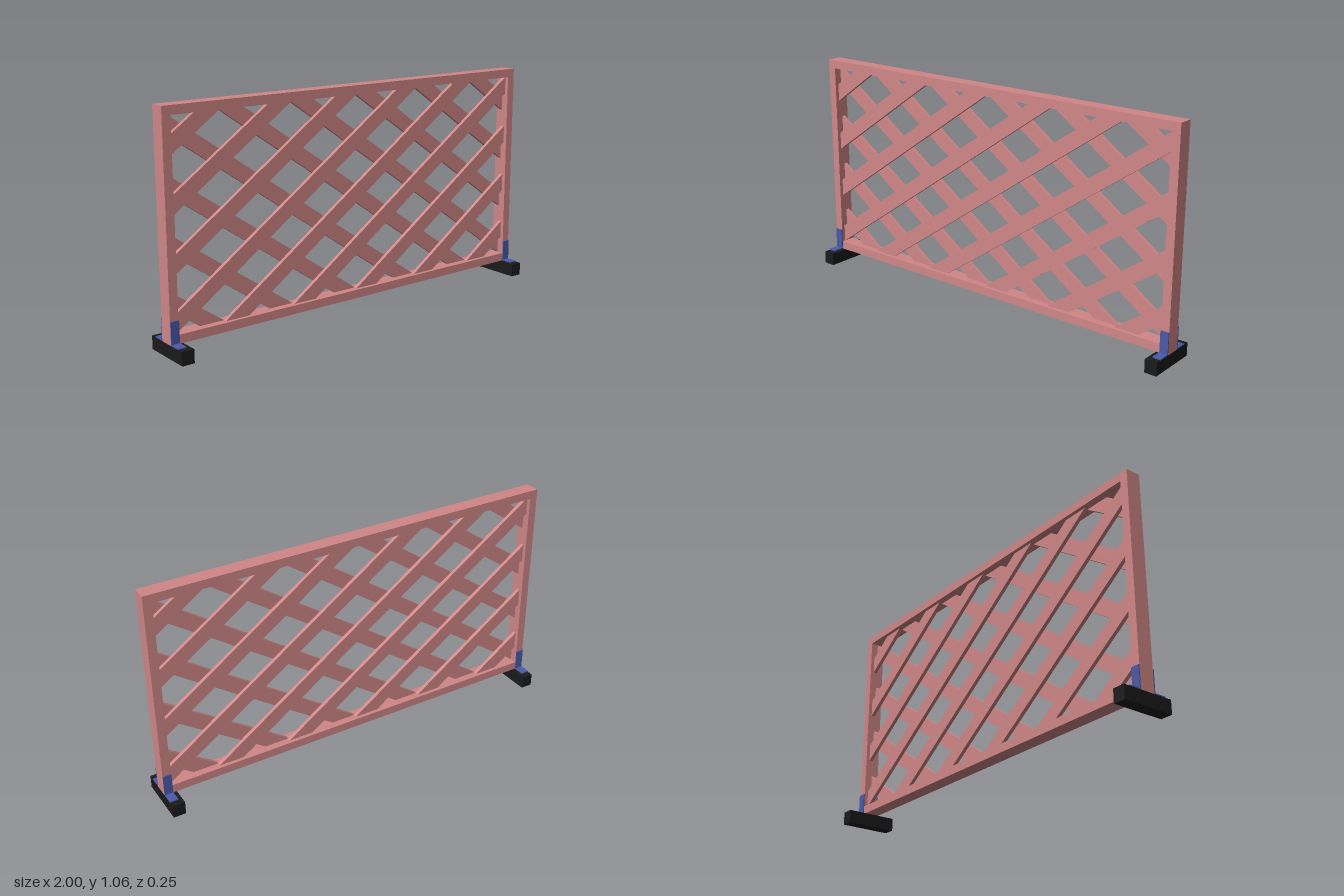
import * as THREE from 'three';

const pink = new THREE.MeshStandardMaterial({ color: 0xd18787 });
const blue = new THREE.MeshStandardMaterial({ color: 0x4a5aa8 });
const black = new THREE.MeshStandardMaterial({ color: 0x1a1a1a });

// Panel extents
const BOTTOM = 0.062, TOP = 1.06, BAR = 0.04, DEPTH = 0.072;
const INX = 1 - BAR, Y0 = BOTTOM + BAR, Y1 = TOP - BAR;

// Box given by its min and max corners
function box(name, material, [x0, y0, z0], [x1, y1, z1]) {
  const mesh = new THREE.Mesh(new THREE.BoxGeometry(x1 - x0, y1 - y0, z1 - z0), material);
  mesh.position.set((x0 + x1) / 2, (y0 + y1) / 2, (z0 + z1) / 2);
  mesh.name = name;
  return mesh;
}

// Keep the part of a polygon where sign * (y - limit) <= 0
function clipY(points, limit, sign) {
  const out = [];
  points.forEach((a, i) => {
    const b = points[(i + 1) % points.length];
    const da = sign * (a.y - limit), db = sign * (b.y - limit);
    if (da <= 0) out.push(a);
    if (da * db < 0) out.push(a.clone().lerp(b, da / (da - db)));
  });
  return out;
}

// One layer of parallel slats, rising towards +x, trimmed to the frame opening
function slatLayer(name) {
  const layer = new THREE.Group();
  layer.name = name;
  const slope = 0.25 / 0.36, half = 0.042, mid = (Y0 + Y1) / 2;
  for (let k = -4; k <= 4; k++) {
    const c = mid + k * 0.25, rise = slope * INX;
    let outline = [
      new THREE.Vector2(-INX, c - rise - half),
      new THREE.Vector2(INX, c + rise - half),
      new THREE.Vector2(INX, c + rise + half),
      new THREE.Vector2(-INX, c - rise + half),
    ];
    outline = clipY(clipY(outline, Y1, 1), Y0, -1);
    if (outline.length < 3) continue;
    const slat = new THREE.Mesh(
      new THREE.ExtrudeGeometry(new THREE.Shape(outline), { depth: 0.018, bevelEnabled: false }), pink);
    slat.name = 'slat';
    layer.add(slat);
  }
  return layer;
}

export function createModel() {
  const model = new THREE.Group();
  model.name = 'latticeFence';
  const d = DEPTH / 2;

  // Frame
  model.add(box('topRail', pink, [-INX, Y1, -d], [INX, TOP, d]));
  model.add(box('bottomRail', pink, [-INX, BOTTOM, -d], [INX, Y0, d]));
  model.add(box('leftPost', pink, [INX, BOTTOM, -d], [1, TOP, d]));
  model.add(box('rightPost', pink, [-1, BOTTOM, -d], [-INX, TOP, d]));

  // Two crossing layers; the back one is the front one turned around
  const back = slatLayer('backSlats');
  back.rotation.y = Math.PI;
  model.add(slatLayer('frontSlats'), back);

  // Feet with an angle bracket on each side of the post
  for (const side of [1, -1]) {
    const foot = new THREE.Group();
    foot.name = side > 0 ? 'leftFoot' : 'rightFoot';
    const span = (inner) => (side > 0 ? [inner, 1] : [-1, -inner]);
    const [f0, f1] = span(0.942), [b0, b1] = span(INX);
    foot.add(box('footBlock', black, [f0, 0, -0.125], [f1, BOTTOM, 0.125]));
    for (const s of [1, -1]) {
      const zs = (a, b) => (s > 0 ? [a, b] : [-b, -a]);
      const [u0, u1] = zs(d, d + 0.005), [p0, p1] = zs(d + 0.005, 0.095);
      foot.add(box('bracketUpright', blue, [b0, BOTTOM, u0], [b1, 0.166, u1]));
      foot.add(box('bracketPlate', blue, [b0, BOTTOM, p0], [b1, BOTTOM + 0.005, p1]));
    }
    model.add(foot);
  }
  return model;
}
